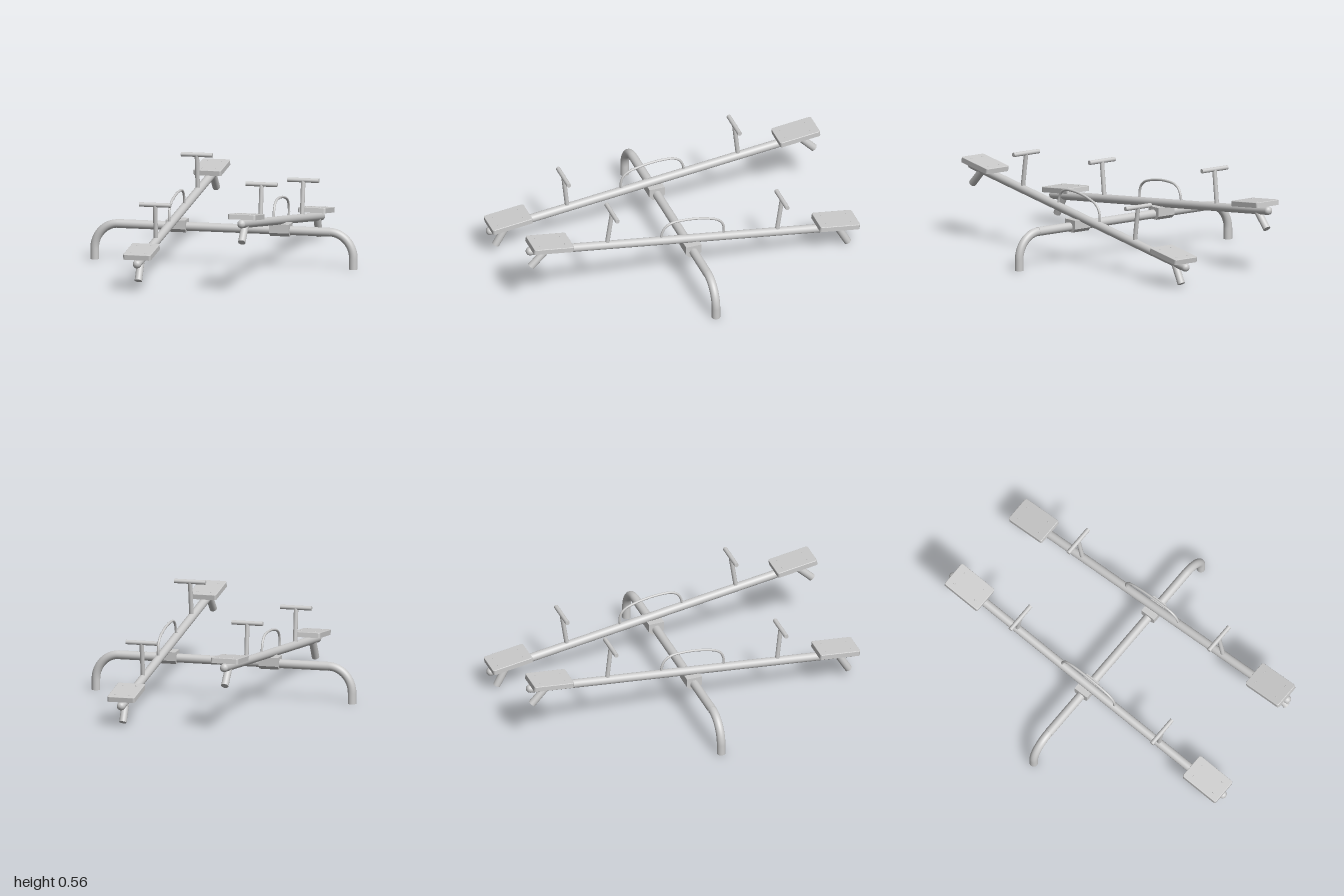
import * as THREE from 'three';

const material = new THREE.MeshStandardMaterial({ color: 0xcccccc });
const V = (x, y, z) => new THREE.Vector3(x, y, z);

function add(parent, name, geometry, x = 0, y = 0, z = 0) {
  const mesh = new THREE.Mesh(geometry, material);
  mesh.name = name;
  mesh.position.set(x, y, z);
  parent.add(mesh);
  return mesh;
}

// Straight bar between two points
function bar(parent, name, a, b, radius) {
  const dir = b.clone().sub(a);
  const mesh = add(parent, name, new THREE.CylinderGeometry(radius, radius, dir.length(), 20));
  mesh.position.copy(a).add(b).multiplyScalar(0.5);
  mesh.quaternion.setFromUnitVectors(V(0, 1, 0), dir.normalize());
  return mesh;
}

function roundedRect(PathType, w, l, r) {
  const p = new PathType();
  const x = w / 2 - r, y = l / 2 - r;
  p.absarc(x, y, r, 0, Math.PI / 2);
  p.absarc(-x, y, r, Math.PI / 2, Math.PI);
  p.absarc(-x, -y, r, Math.PI, Math.PI * 1.5);
  p.absarc(x, -y, r, Math.PI * 1.5, Math.PI * 2);
  p.closePath();
  return p;
}

// Tray-shaped seat: thin top panel with a rim folded down, and four bolts
function addSeat(parent, z) {
  const seat = new THREE.Group();
  seat.name = 'seat';
  seat.position.set(0, 0.08, z);
  parent.add(seat);
  const panel = new THREE.ExtrudeGeometry(roundedRect(THREE.Shape, 0.15, 0.23, 0.008), {
    depth: 0.004, bevelEnabled: true, bevelSize: 0.004, bevelThickness: 0.003, bevelSegments: 3, curveSegments: 5,
  });
  add(seat, 'seatPanel', panel.rotateX(-Math.PI / 2), 0, 0.023, 0);
  const rimShape = roundedRect(THREE.Shape, 0.158, 0.238, 0.012);
  rimShape.holes.push(roundedRect(THREE.Path, 0.142, 0.222, 0.006));
  const rim = new THREE.ExtrudeGeometry(rimShape, { depth: 0.023, bevelEnabled: false, curveSegments: 5 });
  add(seat, 'seatRim', rim.rotateX(-Math.PI / 2));
  for (const x of [-0.04, 0.04]) {
    for (const dz of [-0.075, 0.075]) {
      add(seat, 'seatBolt', new THREE.CylinderGeometry(0.005, 0.006, 0.003, 12), x, 0.031, dz);
    }
  }
}

// One tilting beam with everything that moves with it
function addSeesaw(parent, name, x, tilt) {
  const seesaw = new THREE.Group();
  seesaw.name = name;
  seesaw.position.set(x, 0.205, 0);
  seesaw.rotation.x = tilt;
  parent.add(seesaw);

  // Beam with domed ends
  const L = 0.993;
  const end = [[0, L], [0.009, L - 0.001], [0.017, L - 0.006], [0.022, L - 0.013], [0.024, L - 0.022]];
  const profile = [...end.map(([r, y]) => new THREE.Vector2(r, -y)),
    ...end.reverse().map(([r, y]) => new THREE.Vector2(r, y))];
  add(seesaw, 'beam', new THREE.LatheGeometry(profile, 24).rotateX(Math.PI / 2), 0, 0.056, 0);

  // Arched grab hoop over the pivot
  const half = [[0.187, 0.07], [0.184, 0.11], [0.168, 0.145], [0.135, 0.168], [0.07, 0.181]];
  const hoopPoints = [...half.map(([z, y]) => V(0, y, z)), V(0, 0.185, 0),
    ...half.slice().reverse().map(([z, y]) => V(0, y, -z))];
  add(seesaw, 'hoop', new THREE.TubeGeometry(new THREE.CatmullRomCurve3(hoopPoints), 48, 0.007, 10));

  for (const s of [1, -1]) {
    addSeat(seesaw, s * 0.857);
    // T-shaped handle
    bar(seesaw, 'handlePost', V(0, 0.06, s * 0.509), V(0, 0.267, s * 0.509), 0.0125);
    bar(seesaw, 'handleGrip', V(-0.09, 0.267, s * 0.509), V(0.09, 0.267, s * 0.509), 0.0125);
    // Slanted stop under the seat
    bar(seesaw, 'groundStop', V(0, 0.056, s * 0.872), V(0, -0.047, s * 0.949), 0.021);
  }
}

export function createModel() {
  const model = new THREE.Group();
  model.name = 'doubleSeesaw';

  // Cross tube with a bent leg at each end
  bar(model, 'crossTube', V(-0.61, 0.205, 0), V(0.61, 0.205, 0), 0.025);
  for (const s of [1, -1]) {
    const path = new THREE.CurvePath();
    const k = 0.55;
    path.add(new THREE.CubicBezierCurve3(V(s * 0.605, 0.205, 0), V(s * (0.605 + 0.135 * k), 0.205, 0),
      V(s * 0.74, 0.06 + 0.145 * k, 0), V(s * 0.74, 0.06, 0)));
    path.add(new THREE.LineCurve3(V(s * 0.74, 0.06, 0), V(s * 0.74, 0, 0)));
    add(model, 'bentLeg', new THREE.TubeGeometry(path, 32, 0.024, 24));
    add(model, 'legFoot', new THREE.CircleGeometry(0.024, 24).rotateX(Math.PI / 2), s * 0.74, 0, 0);
  }

  // Pivot brackets: chamfered block profile run along the cross tube
  const block = new THREE.Shape([[-0.045, 0.245], [-0.045, 0.195], [-0.025, 0.175],
    [0.025, 0.175], [0.045, 0.195], [0.045, 0.245]].map(([z, y]) => new THREE.Vector2(z, y)));
  for (const x of [-0.268, 0.325]) {
    const geometry = new THREE.ExtrudeGeometry(block, { depth: 0.112, bevelEnabled: false });
    geometry.translate(0, 0, -0.056).rotateY(Math.PI / 2);
    add(model, 'pivotBracket', geometry, x, 0, 0);
  }

  addSeesaw(model, 'rightSeesaw', -0.268, 0.108);
  addSeesaw(model, 'leftSeesaw', 0.325, -0.148);
  return model;
}
